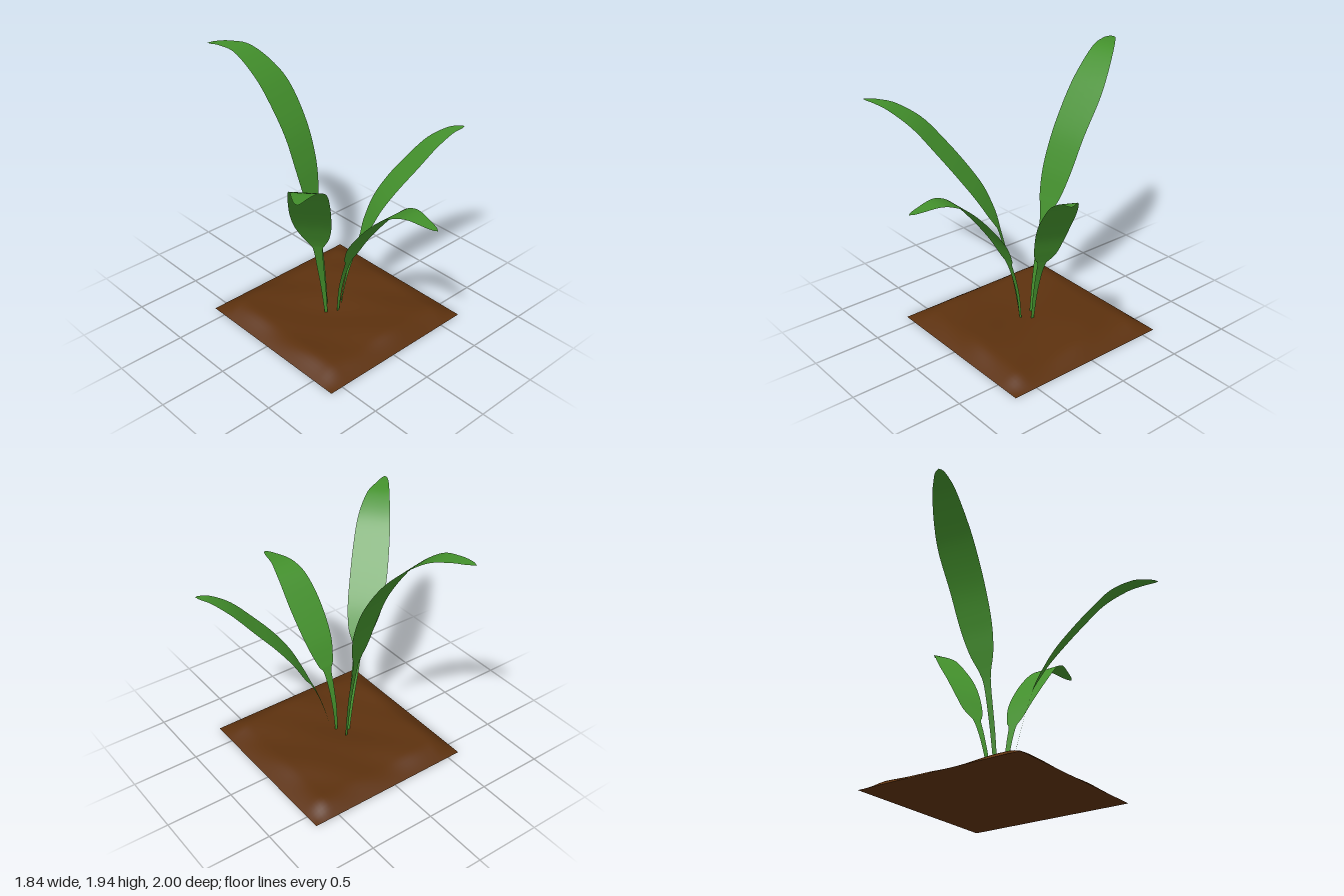
import * as THREE from 'three';

const green = new THREE.MeshStandardMaterial({ color: 0x43902c, side: THREE.DoubleSide });
const brown = new THREE.MeshStandardMaterial({ color: 0x5c310e });

// Smooth grid of (nu+1) x (nv+1) points given by a rule point(u, v)
function gridSurface(nu, nv, point) {
  const pos = [], idx = [];
  for (let i = 0; i <= nu; i++) {
    for (let j = 0; j <= nv; j++) {
      pos.push(...point(i / nu, j / nv));
      if (i < nu && j < nv) {
        const a = i * (nv + 1) + j, b = a + nv + 1;
        idx.push(a, a + 1, b, b, a + 1, b + 1);
      }
    }
  }
  const g = new THREE.BufferGeometry();
  g.setAttribute('position', new THREE.Float32BufferAttribute(pos, 3));
  g.setIndex(idx);
  g.computeVertexNormals();
  return g;
}

// Flat-section leaf: stations are [x, y, z, half width], (wx, wz) is the horizontal width direction
function leaf(name, wx, wz, stations) {
  const path = new THREE.CatmullRomCurve3(
    stations.map(s => new THREE.Vector3(s[0], s[1], s[2])), false, 'catmullrom', 0.5);
  const widths = new THREE.CatmullRomCurve3(
    stations.map(s => new THREE.Vector3(s[3], 0, 0)), false, 'catmullrom', 0.5);
  const len = Math.hypot(wx, wz);
  const geo = gridSurface(72, 4, (u, v) => {
    const p = path.getPoint(u);
    const h = Math.max(0, widths.getPoint(u).x) * (v * 2 - 1) / len;
    return [p.x + wx * h, p.y, p.z + wz * h];
  });
  const mesh = new THREE.Mesh(geo, green);
  mesh.name = name;
  return mesh;
}

// Low soil mound with a square footprint, sloped rim and uneven top
function soil() {
  const group = new THREE.Group();
  group.name = 'soil';
  const size = 1.29, cx = 0.045, cz = 0.035;
  const rim = t => Math.sin(Math.min(1, Math.min(t, 1 - t) * size / 0.17) * Math.PI / 2);
  const top = new THREE.Mesh(gridSurface(48, 48, (u, v) => {
    const x = cx + (u - 0.5) * size, z = cz + (v - 0.5) * size;
    const bumps = 0.009 * Math.sin(7 * x + 2 * z - 0.5) + 0.007 * Math.sin(9 * z - 3 * x + 3.6)
      + 0.004 * Math.sin(15 * x - 11 * z);
    return [x, rim(u) * rim(v) * (0.069 + bumps), z];
  }), brown);
  top.name = 'soilTop';
  const base = new THREE.Mesh(new THREE.PlaneGeometry(size, size).rotateX(Math.PI / 2), brown);
  base.name = 'soilBase';
  base.position.set(cx, 0, cz);
  group.add(top, base);
  return group;
}

export function createModel() {
  const model = new THREE.Group();
  model.name = 'pottedLeafPlant';
  model.add(soil());

  model.add(leaf('frontLeaf', 1, 0, [
    [0.012, 0.05, 0.088, 0.011], [0.012, 0.25, 0.11, 0.018], [0.013, 0.42, 0.15, 0.024],
    [0.015, 0.545, 0.193, 0.034], [0.015, 0.60, 0.216, 0.065], [0.015, 0.76, 0.30, 0.109],
    [0.015, 0.96, 0.45, 0.127], [0.015, 1.12, 0.60, 0.117], [0.015, 1.185, 0.71, 0.095],
    [0.015, 1.205, 0.80, 0.069], [0.015, 1.196, 0.91, 0.041], [0.015, 1.19, 0.97, 0.022],
    [0.015, 1.187, 1.0, 0]]));

  model.add(leaf('backLeaf', 0.97, -0.22, [
    [0, 0.05, -0.018, 0.011], [0, 0.40, -0.06, 0.018], [0, 0.72, -0.12, 0.025],
    [0.002, 0.83, -0.147, 0.042], [0.006, 0.97, -0.19, 0.09], [0.012, 1.16, -0.25, 0.121],
    [0.011, 1.40, -0.35, 0.133], [-0.006, 1.64, -0.50, 0.139], [-0.042, 1.79, -0.625, 0.122],
    [-0.105, 1.912, -0.775, 0.088], [-0.17, 1.935, -0.89, 0.055], [-0.215, 1.93, -0.965, 0.03],
    [-0.24, 1.923, -1.0, 0]]));

  model.add(leaf('rightLeaf', 0.66, 0.75, [
    [-0.062, 0.05, 0.04, 0.011], [-0.10, 0.28, 0.056, 0.017], [-0.15, 0.50, 0.08, 0.024],
    [-0.20, 0.70, 0.108, 0.032], [-0.217, 0.76, 0.12, 0.055], [-0.25, 0.84, 0.143, 0.092],
    [-0.32, 0.98, 0.19, 0.126], [-0.41, 1.14, 0.27, 0.136], [-0.515, 1.32, 0.375, 0.134],
    [-0.625, 1.49, 0.485, 0.12], [-0.75, 1.60, 0.60, 0.085], [-0.845, 1.632, 0.67, 0.048],
    [-0.90, 1.642, 0.715, 0.022], [-0.92, 1.645, 0.735, 0]]));

  model.add(leaf('leftLeaf', -0.45, 0.89, [
    [0.086, 0.05, 0.038, 0.010], [0.13, 0.28, 0.05, 0.015], [0.19, 0.48, 0.068, 0.021],
    [0.242, 0.605, 0.083, 0.03], [0.26, 0.642, 0.088, 0.05], [0.295, 0.71, 0.095, 0.08],
    [0.37, 0.86, 0.12, 0.104], [0.47, 1.01, 0.17, 0.113], [0.595, 1.16, 0.235, 0.109],
    [0.715, 1.295, 0.30, 0.09], [0.825, 1.378, 0.365, 0.053], [0.89, 1.40, 0.408, 0.025],
    [0.915, 1.405, 0.425, 0]]));

  return model;
}
